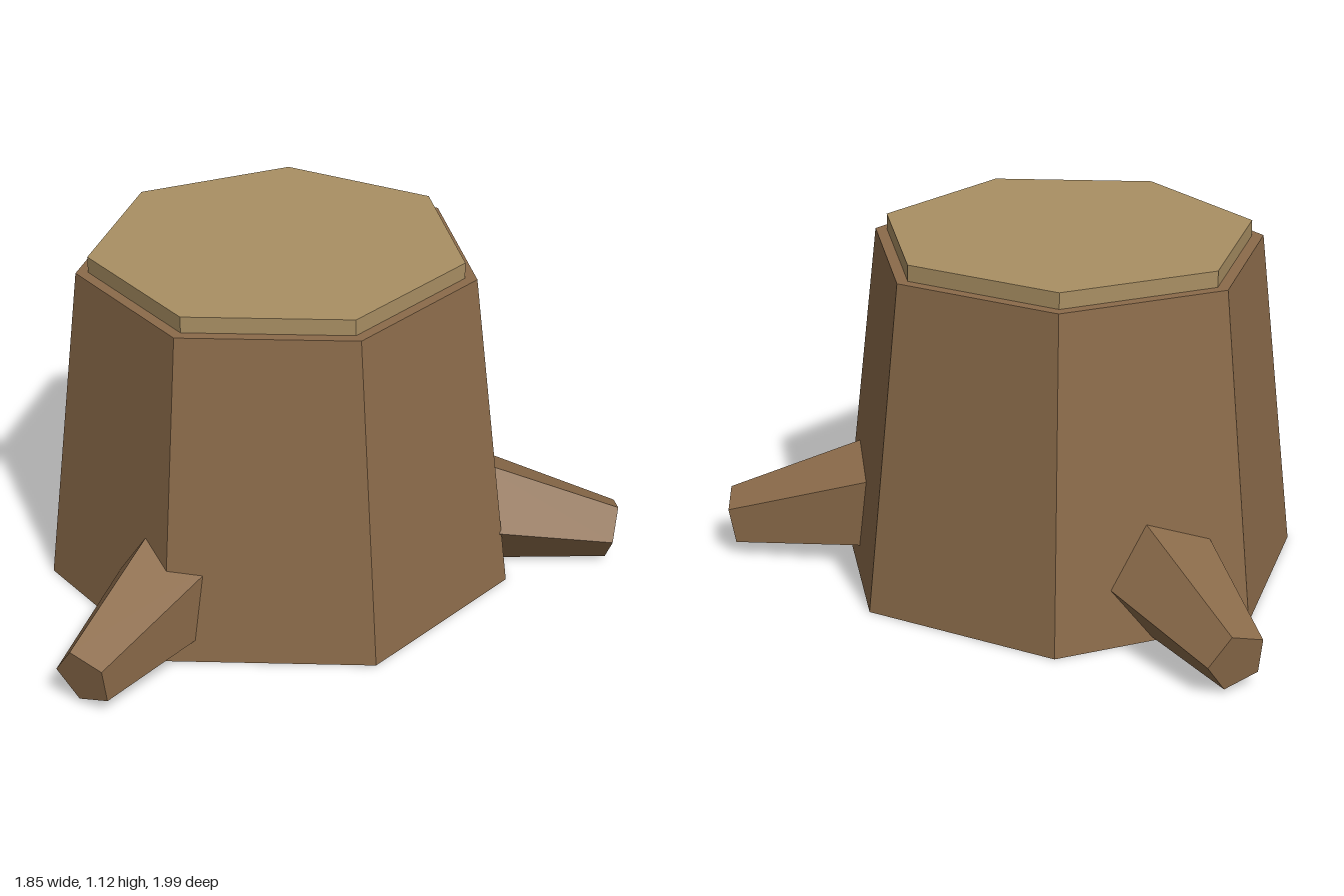
import * as THREE from 'three';

const bark = new THREE.MeshStandardMaterial({ color: 0x8b6b4a, flatShading: true });
const wood = new THREE.MeshStandardMaterial({ color: 0xa98f63, flatShading: true });

// Seven-sided tapered prism with one corner pointing to the back
function heptagon(name, rTop, rBottom, y0, y1, material) {
  const mesh = new THREE.Mesh(new THREE.CylinderGeometry(rTop, rBottom, y1 - y0, 7), material);
  mesh.name = name;
  mesh.position.y = (y0 + y1) / 2;
  mesh.rotation.y = Math.PI;
  return mesh;
}

// Five-sided root sloping down and outwards along +x
function root() {
  const mesh = new THREE.Mesh(new THREE.CylinderGeometry(0.1, 0.2, 0.514, 5), bark);
  mesh.position.set(0.838, 0.152, 0);
  mesh.rotation.z = -Math.PI / 2 - 0.185;
  return mesh;
}

export function createModel() {
  const stump = new THREE.Group();
  stump.name = 'treeStump';
  stump.position.x = -0.186;

  // Trunk and the paler cut surface
  stump.add(heptagon('trunk', 0.639, 0.762, 0, 1.07, bark));
  stump.add(heptagon('cutTop', 0.6, 0.6, 1.03, 1.122, wood));

  // Three roots evenly spread around the base
  ['leftRoot', 'backRightRoot', 'frontRightRoot'].forEach((name, i) => {
    const pivot = new THREE.Group();
    pivot.name = name;
    pivot.rotation.y = (i * Math.PI * 2) / 3;
    pivot.add(root());
    stump.add(pivot);
  });

  const model = new THREE.Group();
  model.add(stump);
  return model;
}
